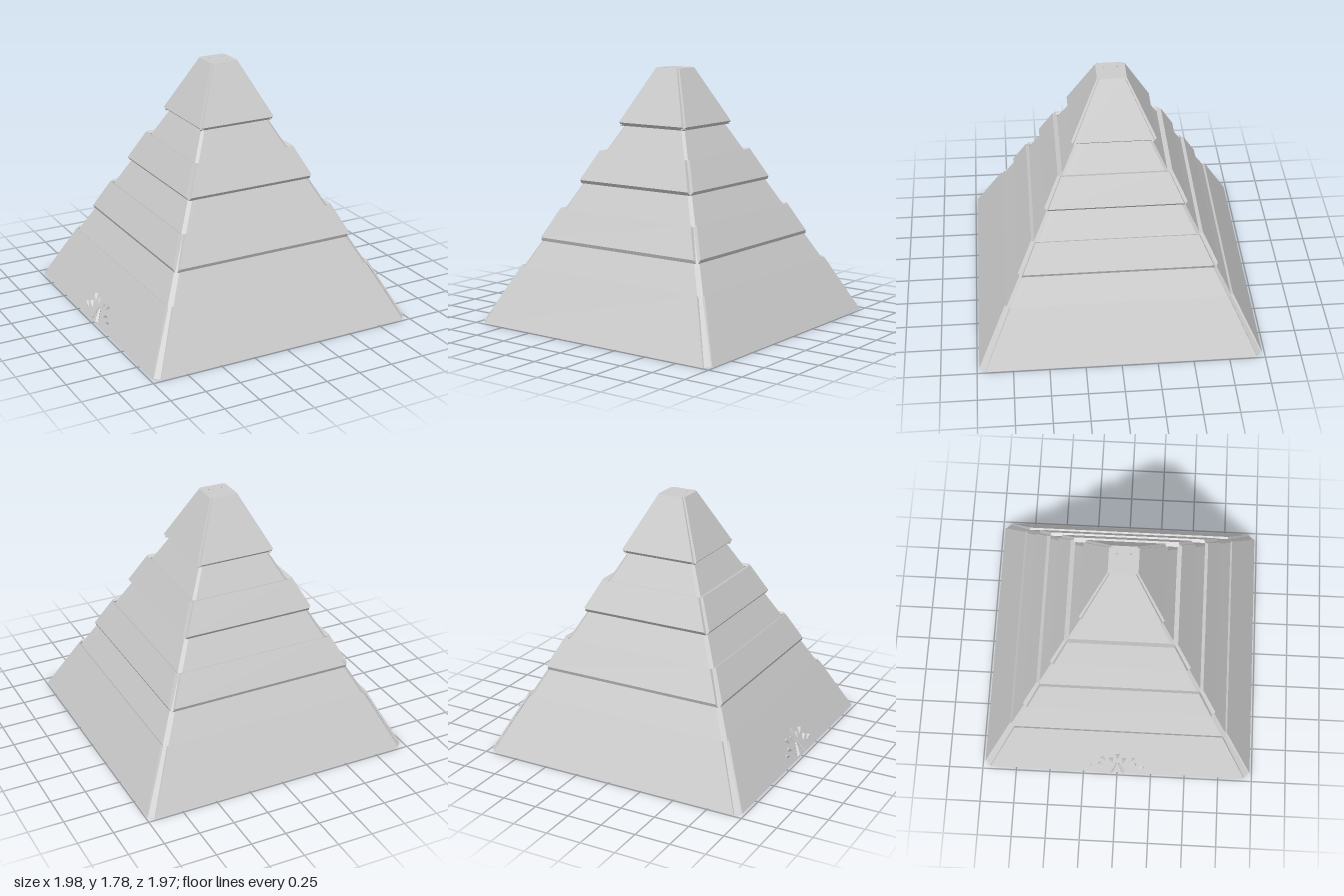
import * as THREE from 'three';

const TOP = 1.78;
const outer = y => 0.985 - 0.497 * y;            // half size at the panel faces
const core = y => 0.975 - 0.52 * y;              // half size at the groove walls
const width = y => outer(y) - 0.042 + 0.016 * y; // half width of a panel

const material = new THREE.MeshStandardMaterial({ color: 0xcccccc, flatShading: true });

// Closed solid between two rings of corners, each counter-clockwise from above
function loft(lower, upper) {
  const out = [];
  const tri = (a, b, c) => out.push(...a, ...b, ...c);
  const n = lower.length;
  for (let i = 0; i < n; i++) {
    const j = (i + 1) % n;
    tri(lower[i], lower[j], upper[j]);
    tri(lower[i], upper[j], upper[i]);
    if (i > 0 && i < n - 1) {
      tri(lower[0], lower[j], lower[i]);
      tri(upper[0], upper[i], upper[j]);
    }
  }
  const geometry = new THREE.BufferGeometry();
  geometry.setAttribute('position', new THREE.Float32BufferAttribute(out, 3));
  geometry.computeVertexNormals();
  return geometry;
}

function add(parent, geometry, name) {
  const mesh = new THREE.Mesh(geometry, material);
  mesh.name = name;
  parent.add(mesh);
  return mesh;
}

// Square ring with cut corners
function coreRing(y) {
  const h = core(y), w = Math.min(width(y), h - 0.012);
  return [[-w, y, h], [w, y, h], [h, y, w], [h, y, -w],
    [w, y, -h], [-w, y, -h], [-h, y, -w], [-h, y, w]];
}

// Panel edge: outer corners at y, inner corners dropped onto the core
function panelRing(y, drop) {
  const yi = y - drop, w = width(y), wi = width(yi);
  return [[-w, y, outer(y)], [w, y, outer(y)], [wi, yi, core(yi)], [-wi, yi, core(yi)]];
}

export function createModel() {
  const model = new THREE.Group();
  model.name = 'steppedPyramid';
  const body = new THREE.Group();
  body.name = 'body';
  body.position.x = 0.005;
  model.add(body);

  add(body, loft(coreRing(0), coreRing(TOP)), 'core');

  // Four sides, each with four raised sloping panels
  const bands = [[0, 0.4], [0.6, 0.8], [1.0, 1.2], [1.4, TOP]];
  for (let s = 0; s < 4; s++) {
    const side = new THREE.Group();
    side.name = 'side';
    side.rotation.y = s * Math.PI / 2;
    body.add(side);
    for (const [y0, y1] of bands) {
      const lower = panelRing(y0, y0 === 0 ? 0 : 0.025);
      const upper = panelRing(y1, y1 === TOP ? 0 : 0.012);
      add(side, loft(lower, upper), 'panel');
    }
  }

  // Small fan of shards around a pointed arch, low on the right side
  const mount = new THREE.Group();
  mount.name = 'ornamentMount';
  mount.rotation.y = -Math.PI / 2;
  body.add(mount);
  const ornament = new THREE.Group();
  ornament.name = 'ornament';
  ornament.position.z = outer(0);
  ornament.rotation.x = -Math.atan(0.497);
  mount.add(ornament);

  const shard = new THREE.ConeGeometry(0.022, 0.055, 3);
  for (let i = 0; i < 9; i++) {
    const a = THREE.MathUtils.degToRad(22 + i * 17);
    const r = i % 2 ? 0.145 : 0.18;
    const mesh = add(ornament, shard, 'shard');
    mesh.position.set(Math.cos(a) * r, Math.sin(a) * r, 0.004);
    mesh.rotation.z = a + Math.PI / 2;
    mesh.scale.z = 0.6;
  }

  for (const sx of [-1, 1]) {
    const leg = add(ornament, new THREE.CylinderGeometry(0.008, 0.016, 0.1, 4), 'archLeg');
    leg.position.set(sx * 0.03, 0.062, 0.006);
    leg.rotation.z = sx * 0.38;
  }
  return model;
}
